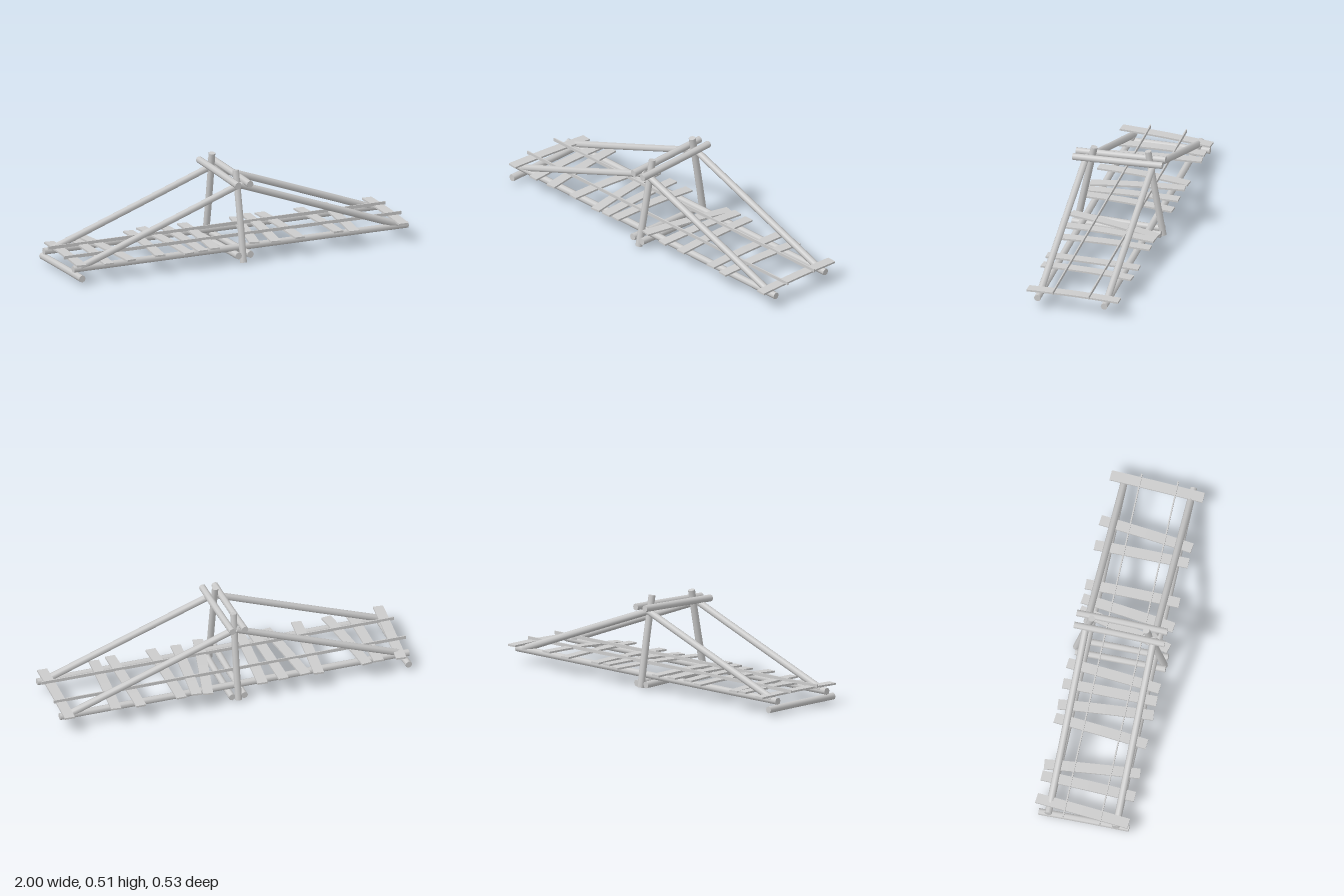
import * as THREE from 'three';

const material = new THREE.MeshStandardMaterial({ color: 0xcccccc });

export function createModel() {
  const group = new THREE.Group();

  const add = (name, geometry) => {
    const mesh = new THREE.Mesh(geometry, material);
    mesh.name = name;
    group.add(mesh);
    return mesh;
  };

  // Round log between two points, with a slight natural bow
  const log = (name, a, b, radius = 0.02, bow = 0.002) => {
    const start = new THREE.Vector3(...a), end = new THREE.Vector3(...b);
    const dir = end.clone().sub(start);
    const length = dir.length();
    const geometry = new THREE.CylinderGeometry(radius * 0.97, radius, length, 8, 4);
    const p = geometry.attributes.position;
    for (let i = 0; i < p.count; i++) {
      const t = p.getY(i) / length * 2;
      p.setX(i, p.getX(i) + bow * (1 - t * t));
    }
    geometry.computeBoundingSphere();
    const mesh = add(name, geometry);
    mesh.position.copy(start).add(end).multiplyScalar(0.5);
    mesh.quaternion.setFromUnitVectors(new THREE.Vector3(0, 1, 0), dir.normalize());
  };

  // Long side beams and sloping braces
  for (const [side, z] of [['front', 0.188], ['back', -0.183]]) {
    log(side + 'SideBeam', [-0.985, 0.077, z], [0.997, 0.077, z], 0.0195, 0);
    for (const s of [-1, 1])
      log(side + (s > 0 ? 'Left' : 'Right') + 'Brace', [s * 0.945, 0.082, z], [s * 0.005, 0.424, z], 0.0195, 0.001);
  }

  // Leaning centre posts
  log('frontPost', [0, 0.005, 0.243], [0, 0.495, 0.143], 0.0195);
  log('backPost', [0, 0.016, -0.24], [0, 0.51, -0.156], 0.0195);

  // Paired cross logs clamping the posts above and below
  for (const s of [-1, 1]) {
    log('topCrossLog', [s * 0.035, 0.44, 0.252], [s * 0.035, 0.453, -0.246], 0.0195);
    log('bottomCrossLog', [s * 0.035, 0.049, 0.257], [s * 0.035, 0.034, -0.238], 0.0195);
  }

  // Log under one end of the deck
  log('endCrossLog', [-0.962, 0.038, 0.257], [-0.968, 0.035, -0.238], 0.0195);

  // Thin rails over the planks
  for (const z of [0.103, -0.097])
    add('thinRail', new THREE.BoxGeometry(2, 0.018, 0.007)).position.set(0, 0.12, z);

  // Deck planks: x at the back end, x at the front end
  const planks = [
    [-0.918, -0.963], [-0.79, -0.802], [-0.723, -0.668], [-0.45, -0.498], [-0.375, -0.325],
    [-0.25, -0.245], [-0.13, -0.173], [0.18, 0.06], [0.245, 0.187], [0.33, 0.33],
    [0.56, 0.56], [0.702, 0.652], [0.965, 0.945],
  ];
  planks.forEach(([xBack, xFront], i) => {
    const length = Math.hypot(0.515, xFront - xBack);
    const geometry = new THREE.BoxGeometry(0.056, 0.01, length, 1, 1, 4).toNonIndexed();
    const p = geometry.attributes.position;
    const tilt = ((i * 5) % 7 - 3) * 0.002;
    const warp = 0.004 + ((i * 3) % 5) * 0.001;
    for (let k = 0; k < p.count; k++) {
      const t = p.getZ(k) / length * 2;
      p.setY(k, p.getY(k) + warp * (1 - t * t) - tilt * t);
    }
    geometry.computeVertexNormals();
    const mesh = add('plank', geometry);
    mesh.position.set((xBack + xFront) / 2, 0.104, -0.003);
    mesh.rotation.y = Math.atan2(xFront - xBack, 0.515);
  });

  return group;
}
